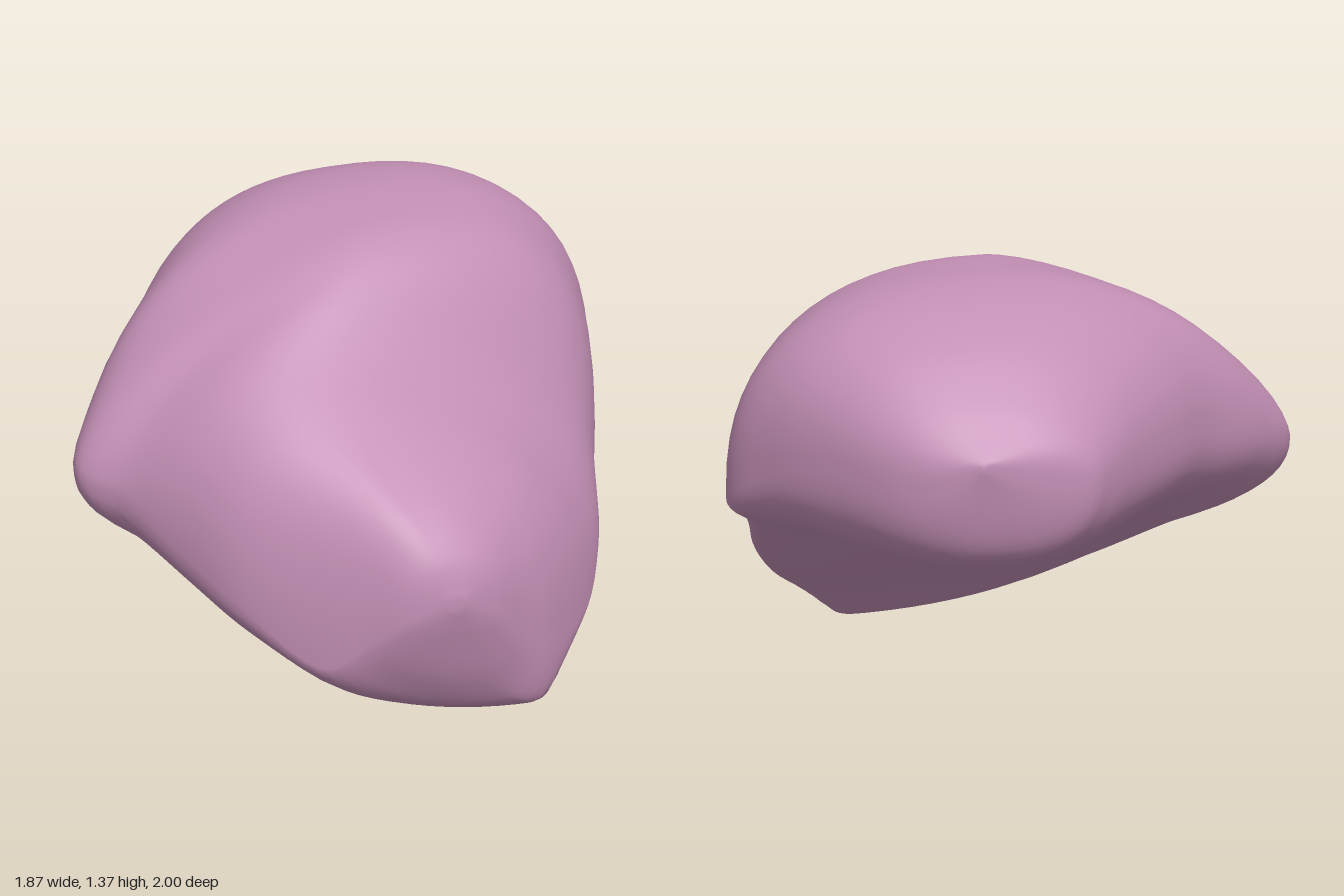
import * as THREE from 'three';

// Cross-sections from front to back:
// z, left x, left y, right x, right y, top x, top y, bottom x, bottom y
const SECTIONS = [
  [1.0, -0.06, 0.45, 0.0, 0.45, -0.03, 0.47, -0.03, 0.42],
  [0.97, -0.18, 0.40, 0.12, 0.39, -0.07, 0.58, 0.0, 0.31],
  [0.90, -0.29, 0.31, 0.24, 0.28, -0.12, 0.68, 0.1, 0.12],
  [0.80, -0.42, 0.22, 0.39, 0.18, -0.17, 0.77, 0.31, 0.0],
  [0.60, -0.62, 0.40, 0.58, 0.22, -0.22, 0.92, 0.25, 0.13],
  [0.40, -0.74, 0.53, 0.70, 0.36, -0.2, 1.08, 0.15, 0.24],
  [0.22, -0.84, 0.64, 0.76, 0.50, -0.03, 1.26, 0.0, 0.34],
  [0.08, -0.94, 0.70, 0.82, 0.62, 0.03, 1.34, -0.08, 0.42],
  [-0.10, -0.82, 0.77, 0.88, 0.68, 0.1, 1.36, -0.05, 0.51],
  [-0.30, -0.62, 0.83, 0.93, 0.71, 0.15, 1.365, 0.0, 0.545],
  [-0.50, -0.47, 0.86, 0.84, 0.82, 0.2, 1.335, 0.1, 0.55],
  [-0.70, -0.31, 0.87, 0.70, 0.87, 0.2, 1.25, 0.17, 0.555],
  [-0.86, -0.18, 0.87, 0.55, 0.88, 0.2, 1.12, 0.19, 0.59],
  [-0.95, -0.07, 0.87, 0.41, 0.89, 0.2, 1.02, 0.2, 0.69],
  [-1.0, 0.23, 0.94, 0.27, 0.94, 0.25, 0.96, 0.25, 0.92],
];
const STEPS = 5, AROUND = 64;

// Smooth interpolation through the section table
function sectionAt(t) {
  const last = SECTIONS.length - 1;
  const i = Math.min(Math.floor(t), last - 1), f = t - i;
  const row = (k) => SECTIONS[Math.max(0, Math.min(last, k))];
  const [a, b, c, d] = [row(i - 1), row(i), row(i + 1), row(i + 2)];
  return b.map((v, k) => {
    const m0 = (c[k] - a[k]) / 2, m1 = (d[k] - b[k]) / 2;
    const f2 = f * f, f3 = f2 * f;
    return (2 * f3 - 3 * f2 + 1) * v + (f3 - 2 * f2 + f) * m0
      + (3 * f2 - 2 * f3) * c[k] + (f3 - f2) * m1;
  });
}

const bump = (z, centre, width) => Math.exp(-(((z - centre) / width) ** 2));

// Fullness of each quarter: below 1 is boxier, above 1 is flatter
function fullness(z, right, top) {
  if (top && right) return 0.8 + 0.35 * bump(z, 0.4, 0.22); // hollow beside the front slope
  if (top) return 0.9 + 0.45 * bump(z, 0.1, 0.22); // straight flank above the left tip
  if (right) return 0.82;
  return 0.85 + 0.3 * bump(z, 0.82, 0.15); // straight lower front edge
}

// One ring point: four rounded quarters joined at the section's extremes
function ringPoint(s, angle) {
  const [z, xl, yl, xr, yr, xt, yt, xb, yb] = s;
  const c = Math.cos(angle), n = Math.sin(angle);
  const [sideX, sideY] = c >= 0 ? [xr, yr] : [xl, yl];
  const [endX, endY] = n >= 0 ? [xt, yt] : [xb, yb];
  const p = fullness(z, c >= 0, n >= 0);
  return [
    endX + (sideX - endX) * Math.abs(c) ** p,
    sideY + (endY - sideY) * Math.abs(n) ** p,
    z,
  ];
}

function bodyGeometry() {
  const positions = [], index = [];
  const rings = (SECTIONS.length - 1) * STEPS;
  for (let i = 0; i <= rings; i++) {
    const s = sectionAt(i / STEPS);
    for (let j = 0; j < AROUND; j++) {
      positions.push(...ringPoint(s, (j / AROUND) * Math.PI * 2));
    }
  }
  for (let i = 0; i < rings; i++) {
    for (let j = 0; j < AROUND; j++) {
      const k = (j + 1) % AROUND;
      const a = i * AROUND + j, b = a + AROUND;
      const c = i * AROUND + k, d = c + AROUND;
      index.push(a, b, c, c, b, d);
    }
  }
  // end caps
  const end = rings * AROUND;
  for (let j = 1; j < AROUND - 1; j++) {
    index.push(0, j, j + 1, end, end + j + 1, end + j);
  }
  const g = new THREE.BufferGeometry();
  g.setAttribute('position', new THREE.Float32BufferAttribute(positions, 3));
  g.setIndex(index);
  g.computeVertexNormals();
  return g;
}

export function createModel() {
  const group = new THREE.Group();
  group.name = 'organicLobe';
  const body = new THREE.Mesh(
    bodyGeometry(),
    new THREE.MeshStandardMaterial({ color: 0xc490b6 })
  );
  body.name = 'lobeBody';
  group.add(body);
  return group;
}
